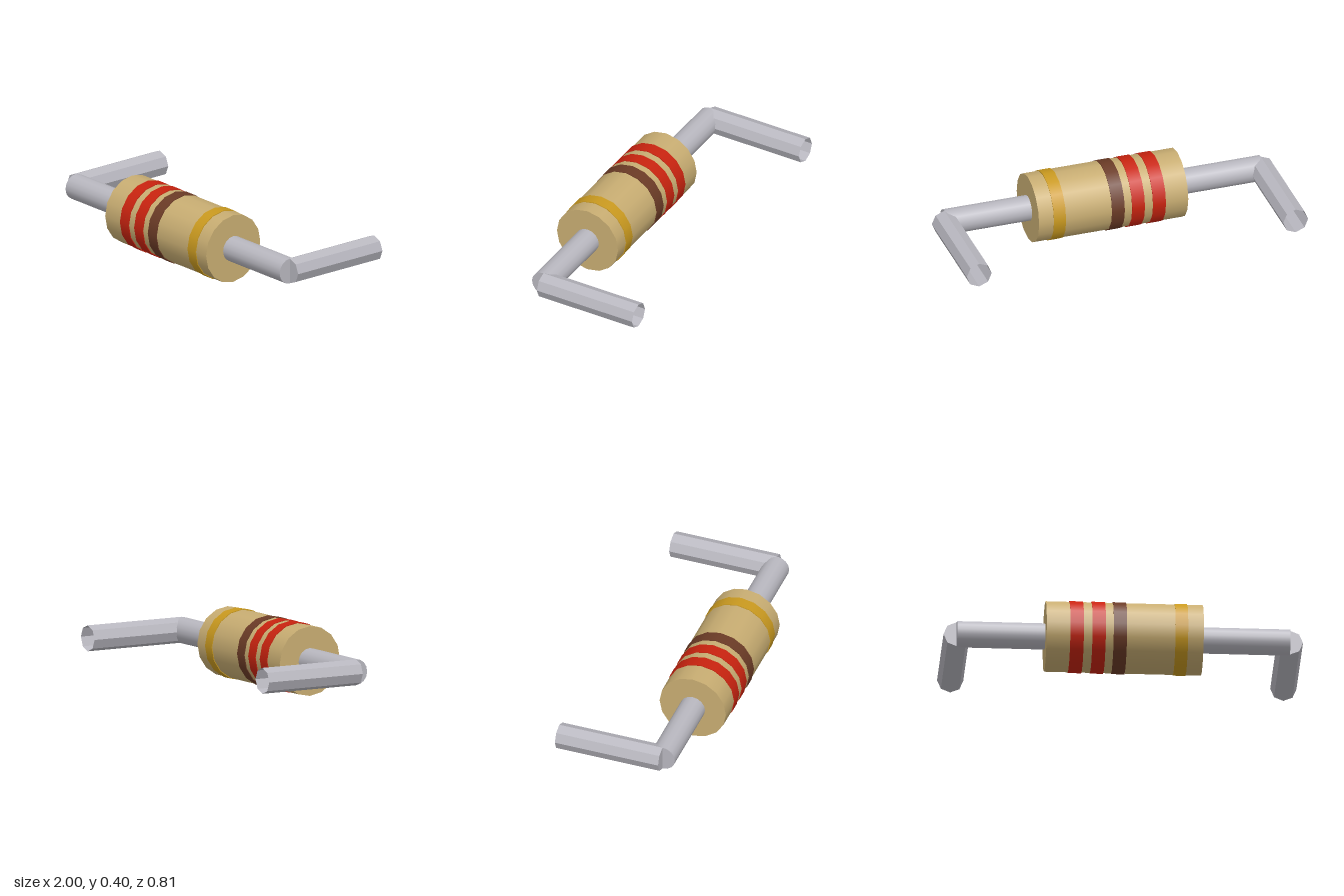
import * as THREE from 'three';

const Y = 0.2, Z = 0.205; // axis of the body

function material(name, color, side = THREE.FrontSide) {
  const m = new THREE.MeshStandardMaterial({ color, side });
  m.name = name;
  return m;
}

export function createModel() {
  const group = new THREE.Group();
  const tan = material('tan ceramic', 0xc8ad72);
  const red = material('red paint', 0xc8230f);
  const brown = material('brown paint', 0x6b3b26);
  const gold = material('gold paint', 0xc9991f);
  const metal = material('grey metal', 0xb8b7bf, THREE.DoubleSide);

  function add(name, geometry, mat) {
    const mesh = new THREE.Mesh(geometry, mat);
    mesh.name = name;
    group.add(mesh);
  }

  // Sixteen-sided smooth cylinder along x, from x0 to x1
  function rod(name, radius, x0, x1, mat) {
    const g = new THREE.CylinderGeometry(radius, radius, x1 - x0, 16);
    g.rotateZ(-Math.PI / 2).translate((x0 + x1) / 2, Y, Z);
    add(name, g, mat);
  }

  // Body and its raised colour bands
  rod('body', 0.196, -0.437, 0.437, tan);
  rod('firstBand', 0.2, -0.305, -0.23, red);
  rod('secondBand', 0.2, -0.182, -0.108, red);
  rod('thirdBand', 0.2, -0.064, 0.01, brown);
  rod('toleranceBand', 0.2, 0.28, 0.35, gold);

  for (const [side, s] of [['left', 1], ['right', -1]]) {
    // Straight wire out of the body
    const ends = [s * 0.4, s * 0.927].sort((a, b) => a - b);
    rod(side + 'Wire', 0.073, ends[0], ends[1], metal);

    // Faceted leg running back, open at its far end
    const leg = new THREE.CylinderGeometry(0.073, 0.073, 0.61, 8, 1, true).toNonIndexed();
    leg.computeVertexNormals();
    leg.rotateX(Math.PI / 2).translate(s * 0.927, Y, Z - 0.305);
    add(side + 'Leg', leg, metal);

    // Flat cap at the bend
    add(side + 'LegCap', new THREE.CircleGeometry(0.073, 8).translate(s * 0.927, Y, Z), metal);
  }

  return group;
}
